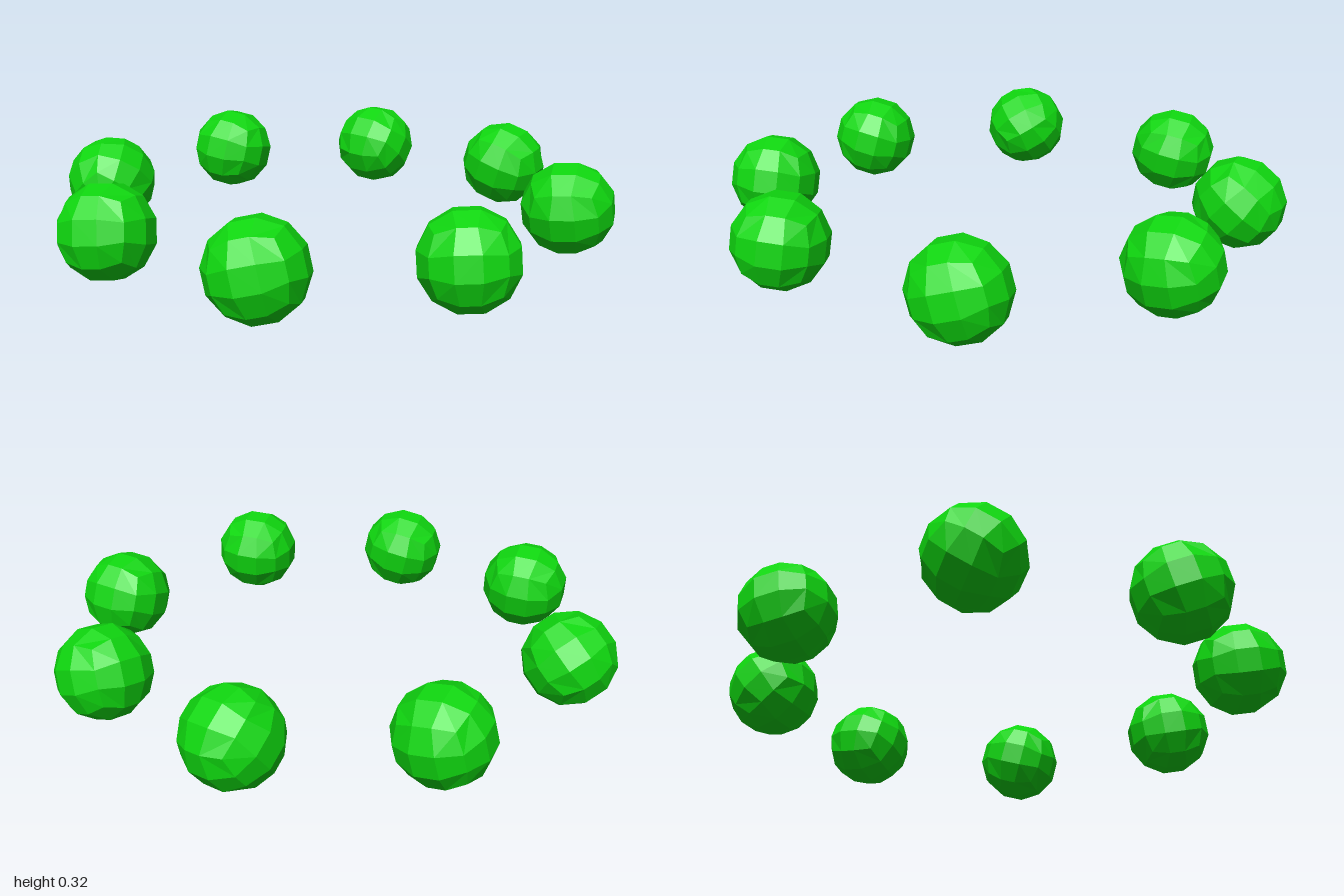
import * as THREE from 'three';

const RADIUS = 0.162;

// Faceted ball: a 3 x 3 cube grid bent onto a sphere at equal angles
function ballGeometry() {
  const box = new THREE.BoxGeometry(2, 2, 2, 3, 3, 3);
  const pos = box.attributes.position;
  const v = new THREE.Vector3();
  const bend = (t) => Math.tan((t * Math.PI) / 4);
  for (let i = 0; i < pos.count; i++) {
    v.fromBufferAttribute(pos, i);
    v.set(bend(v.x), bend(v.y), bend(v.z)).setLength(RADIUS);
    pos.setXYZ(i, v.x, v.y, v.z);
  }
  const geometry = box.toNonIndexed();
  geometry.computeVertexNormals();
  return geometry;
}

// Small seeded generator, for the tumbled orientation of each ball
function seeded(seed) {
  return () => {
    seed = (seed * 16807) % 2147483647;
    return seed / 2147483647;
  };
}

export function createModel() {
  const group = new THREE.Group();
  group.name = 'ballRing';
  const geometry = ballGeometry();
  const material = new THREE.MeshStandardMaterial({ color: 0x0fd60f, flatShading: true });
  const random = seeded(4217);

  // Ball centres (x, z) around the ring, clockwise from the back
  const centres = [
    [0, -0.843], [0.57, -0.615], [0.837, -0.015], [0.57, 0.61],
    [-0.005, 0.837], [-0.573, 0.61], [-0.837, 0.01], [-0.573, -0.618],
  ];
  centres.forEach(([x, z], i) => {
    const ball = new THREE.Mesh(geometry, material);
    ball.name = `ball${i + 1}`;
    ball.position.set(x, 0.163, z);
    ball.rotation.set(random() * 6.28, random() * 6.28, random() * 6.28);
    group.add(ball);
  });
  return group;
}
